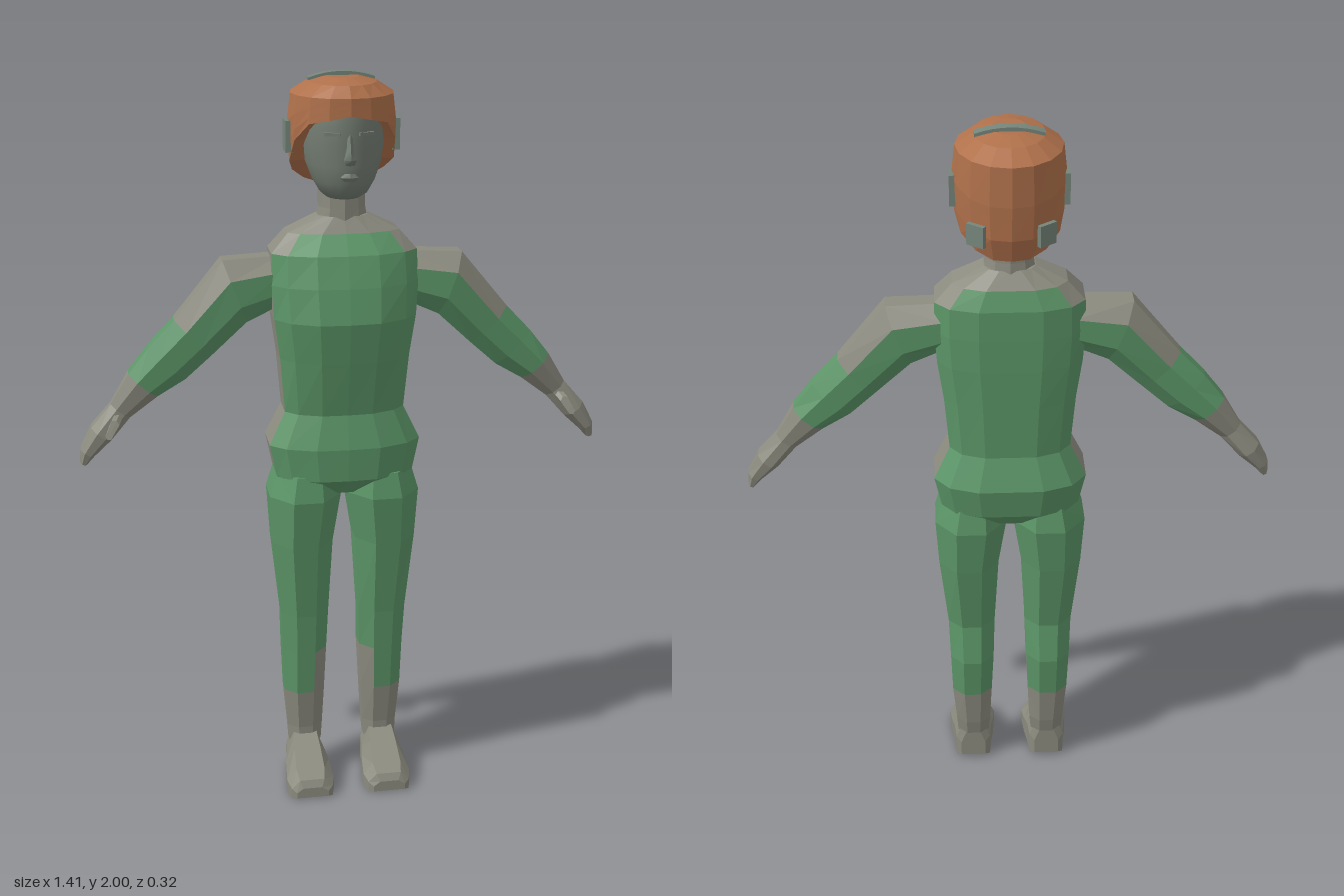
import * as THREE from 'three';
import { toCreasedNormals } from 'three/addons/utils/BufferGeometryUtils.js';

const mat = (name, color) => {
  const m = new THREE.MeshStandardMaterial({ color });
  m.name = name;
  return m;
};
const V = (x, y, z) => new THREE.Vector3(x, y, z);

// Closed skin over rings of points; pick(ring, segment) gives the material slot. Faceted unless crease is set.
function loft(name, rings, mats, pick = () => 0, crease = 0) {
  const n = rings[0].length, last = rings.length - 1;
  const tris = mats.map(() => []);
  const centre = r => r.reduce((s, p) => s.add(p), V(0, 0, 0)).divideScalar(n);
  const c0 = centre(rings[0]), c1 = centre(rings[last]);
  for (let j = 0; j < n; j++) {
    const k = (j + 1) % n;
    for (let i = 0; i < last; i++) {
      const [a, b, c, d] = [rings[i][j], rings[i][k], rings[i + 1][k], rings[i + 1][j]];
      tris[pick(i, j)].push([a, b, c], [a, c, d]);
    }
    tris[pick(0, j)].push([c0, rings[0][k], rings[0][j]]);
    tris[pick(last - 1, j)].push([c1, rings[last][j], rings[last][k]]);
  }
  // turn the skin outwards whichever way the rings run
  let volume = 0;
  for (const [a, b, c] of tris.flat()) volume += V(0, 0, 0).crossVectors(b, c).dot(a);
  const pos = [];
  let geo = new THREE.BufferGeometry();
  tris.forEach((list, slot) => {
    geo.addGroup(pos.length / 3, list.length * 3, slot);
    for (const t of list) for (const p of volume < 0 ? [t[0], t[2], t[1]] : t) pos.push(p.x, p.y, p.z);
  });
  geo.setAttribute('position', new THREE.Float32BufferAttribute(pos, 3));
  geo.computeVertexNormals();
  if (crease) geo = toCreasedNormals(geo, crease);
  const mesh = new THREE.Mesh(geo, mats);
  mesh.name = name;
  return mesh;
}

// Horizontal ring: half width w, front zf, back zb, around centre cx
const oval = (n, cx, y, w, zf, zb, turn = 0) => Array.from({ length: n }, (_, i) => {
  const a = (i + turn) / n * Math.PI * 2;
  return V(cx + Math.sin(a) * w, y, (zf + zb) / 2 + Math.cos(a) * (zf - zb) / 2);
});

// Linear reading of a table sorted by its first column
function lookup(table, t) {
  let i = 0;
  while (i < table.length - 2 && t > table[i + 1][0]) i++;
  const [a, b] = [table[i], table[i + 1]];
  const f = THREE.MathUtils.clamp((t - a[0]) / (b[0] - a[0]), 0, 1);
  return a.map((v, k) => v + (b[k] - v) * f);
}

export function createModel() {
  const green = mat('green cloth', 0x5c9668);
  const grey = mat('warm grey', 0x8b8b7f);
  const skin = mat('face grey', 0x737d72);
  const brown = mat('hair brown', 0xb0714b);
  const pad = mat('pad grey', 0x76857a);
  const cloth = [green, grey];
  const model = new THREE.Group();
  model.name = 'figure';

  const box = (name, m, w, h, d, x, y, z, parent) => {
    const b = new THREE.Mesh(new THREE.BoxGeometry(w, h, d, 8, 1, 1), m);
    b.name = name;
    b.position.set(x, y, z);
    parent.add(b);
    return b;
  };

  // Torso: y, half width, front z, back z
  const half = [[0, 1], [0.42, 0.97], [0.8, 0.74], [1, 0.42], [1, -0.42], [0.8, -0.8], [0.42, -1], [0, -1]];
  const outline = [...half, ...half.slice(1, -1).reverse().map(([x, z]) => [-x, z])];
  const torso = [[0.885, 0.07, 0.06, -0.07], [0.94, 0.185, 0.118, -0.118], [1.03, 0.203, 0.122, -0.135],
    [1.12, 0.16, 0.1, -0.105], [1.27, 0.172, 0.13, -0.108], [1.38, 0.187, 0.15, -0.11],
    [1.47, 0.193, 0.132, -0.11], [1.55, 0.19, 0.108, -0.108], [1.6, 0.145, 0.07, -0.09], [1.64, 0.065, 0.045, -0.06]]
    .map(([y, w, f, b]) => outline.map(([x, z]) => V(x * w, y, z > 0 ? z * f : -z * b)));
  model.add(loft('torso', torso, cloth, (i, j) => {
    const side = j === 3 || j === 10;
    const yoke = i === 8 || (i === 7 && [2, 4, 9, 11].includes(j));
    return (side && i > 0) || yoke ? 1 : 0;
  }));

  // Neck
  model.add(loft('neck', [[1.62, 0.07, 0.052, -0.067], [1.66, 0.062, 0.05, -0.062], [1.75, 0.062, 0.045, -0.06]]
    .map(r => oval(10, 0, ...r)), [grey]));

  // Head with nose and lips
  const head = new THREE.Group();
  head.name = 'head';
  model.add(head);
  head.add(loft('face', [[1.69, 0.045, 0.075, -0.05], [1.705, 0.062, 0.108, -0.06], [1.735, 0.08, 0.122, -0.075],
    [1.78, 0.097, 0.128, -0.095], [1.83, 0.105, 0.126, -0.11], [1.88, 0.107, 0.13, -0.12], [1.93, 0.1, 0.12, -0.12]]
    .map(r => oval(18, 0, ...r)), [skin], undefined, 0.9));
  head.add(loft('nose', [[1.785, 0.014, 0.135, 0.11], [1.8, 0.017, 0.148, 0.11], [1.83, 0.009, 0.138, 0.11],
    [1.865, 0.007, 0.128, 0.11]].map(r => oval(6, 0, ...r)), [skin], undefined, 0.9));
  head.add(loft('lips', [[1.744, 0.018, 0.126, 0.1], [1.754, 0.026, 0.132, 0.1], [1.764, 0.018, 0.128, 0.1]]
    .map(r => oval(8, 0, ...r)), [skin]));
  for (const s of [-1, 1]) {
    const brow = box('brow', skin, 0.04, 0.008, 0.014, s * 0.042, 1.862, 0.118, head);
    brow.rotation.y = s * 0.3;
  }

  // Hair: an arched fringe in front that falls to the nape behind
  const N = 16;
  const hairline = [[0, 1.908], [0.8, 1.885], [1.25, 1.83], [1.6, 1.775], [2.1, 1.735], [2.6, 1.70], [3.15, 1.70]];
  const shell = [[1.7, 0.115, 0.09, -0.13], [1.74, 0.13, 0.1, -0.152], [1.8, 0.138, 0.12, -0.153],
    [1.88, 0.14, 0.143, -0.16], [1.95, 0.132, 0.142, -0.156], [1.98, 0.085, 0.115, -0.1]];
  const hairPoint = (i, y, k = 1) => {
    const [, w, f, b] = lookup(shell, y), a = i / N * Math.PI * 2, c = Math.cos(a);
    return V(Math.sin(a) * w * k, y, c * (c > 0 ? f : -b) * k);
  };
  const hairRing = (t, k, fixed) => Array.from({ length: N }, (_, i) => {
    const low = lookup(hairline, Math.min(i, N - i) / N * Math.PI * 2)[1];
    return hairPoint(i, fixed ?? low + (1.95 - low) * t, k);
  });
  head.add(loft('hair', [hairRing(0, 0.84), hairRing(0, 1), hairRing(0.25, 1), hairRing(0.6, 1), hairRing(1, 1),
    hairRing(0, 1, 1.978), hairRing(0, 0.5, 1.99)], [brown]));

  // Curved band over the crown, ear pads and nape patch
  const band = box('crown band', pad, 0.17, 0.012, 0.028, 0, 1.994, -0.015, head);
  const bp = band.geometry.attributes.position;
  for (let i = 0; i < bp.count; i++) bp.setY(i, bp.getY(i) - bp.getX(i) ** 2 * 2);
  band.geometry.computeVertexNormals();
  for (const s of [-1, 1]) {
    box('ear pad', pad, 0.02, 0.08, 0.055, s * 0.137, 1.843, -0.006, head);
    const patch = box('nape patch', pad, 0.05, 0.055, 0.012, s * 0.085, 1.77, -0.128, head);
    patch.rotation.y = s * -0.65;
  }

  for (const s of [-1, 1]) {
    const side = s > 0 ? 'left' : 'right';

    // Leg: y, inner x, outer x, front z, back z
    const leg = [[0.1, 0.062, 0.155, 0.025, -0.045], [0.15, 0.058, 0.158, 0.026, -0.055], [0.27, 0.052, 0.168, 0.042, -0.068],
      [0.4, 0.046, 0.172, 0.055, -0.083], [0.52, 0.042, 0.176, 0.066, -0.066], [0.74, 0.03, 0.198, 0.098, -0.102],
      [0.88, 0.008, 0.206, 0.118, -0.12], [0.95, 0.02, 0.185, 0.105, -0.105]]
      .map(([y, a, b, f, k]) => oval(8, (a + b) / 2, y, (b - a) / 2 * 1.06, f, k, 0.5)
        .map(p => V(p.x * s, p.y, p.z * 1.04)));
    model.add(loft(side + ' leg', leg, cloth, (i, j) => i < 2 || (i === 2 && (j === 5 || j === 6)) ? 1 : 0));

    // Foot: z, top y, half width, sole y
    const foot = [[-0.042, 0.1, 0.036, 0.012], [-0.03, 0.13, 0.05, 0.004], [0.022, 0.13, 0.055, 0.004],
      [0.06, 0.105, 0.062, 0.003], [0.12, 0.07, 0.067, 0], [0.155, 0.055, 0.058, 0], [0.166, 0.035, 0.045, 0.005]]
      .map(([z, t, w, b]) => [[-1, 0], [-1, 0.55], [-0.6, 1], [0.6, 1], [1, 0.55], [1, 0]]
        .map(([x, y]) => V(s * (0.11 + x * w), b + (t - b) * y, z)));
    model.add(loft(side + ' foot', foot, [grey]));

    // Arm and hand: centre x, y, half thickness, half depth, centre z, tilt of the ring
    const arm = [[0.16, 1.475, 0.066, 0.06, -0.005, 0.05], [0.285, 1.45, 0.09, 0.066, 0, 0.35], [0.395, 1.33, 0.07, 0.052, 0, 0.78],
      [0.465, 1.262, 0.066, 0.048, -0.002, 0.8], [0.53, 1.205, 0.05, 0.046, -0.003, 0.85], [0.592, 1.135, 0.032, 0.031, -0.005, 0.9],
      [0.645, 1.075, 0.032, 0.043, -0.003, 0.95], [0.683, 1.025, 0.021, 0.036, 0, 1.05], [0.695, 0.995, 0.01, 0.026, 0, 1.15]]
      .map(([x, y, r, d, z, t]) => Array.from({ length: 8 }, (_, i) => {
        const a = (i + 0.5) / 8 * Math.PI * 2, u = Math.cos(a) * r * 1.06;
        return V(s * (x + Math.sin(t) * u), y + Math.cos(t) * u, z + Math.sin(a) * d * 1.06);
      }));
    model.add(loft(side + ' arm', arm, cloth, (i, j) => {
      const upper = j === 7 || j === 0 || j === 6;
      return i > 3 || (i < 2 && upper) ? 1 : 0;
    }));

    // Thumb
    const thumb = [[0.598, 1.125, 0.02, 0.013], [0.61, 1.11, 0.05, 0.013], [0.625, 1.085, 0.062, 0.01]]
      .map(([x, y, z, r]) => Array.from({ length: 6 }, (_, i) => {
        const a = i / 6 * Math.PI * 2;
        return V(s * (x + Math.cos(a) * r), y + Math.sin(a) * r, z - Math.sin(a) * r * 0.4);
      }));
    model.add(loft(side + ' thumb', thumb, [grey]));
  }
  return model;
}
